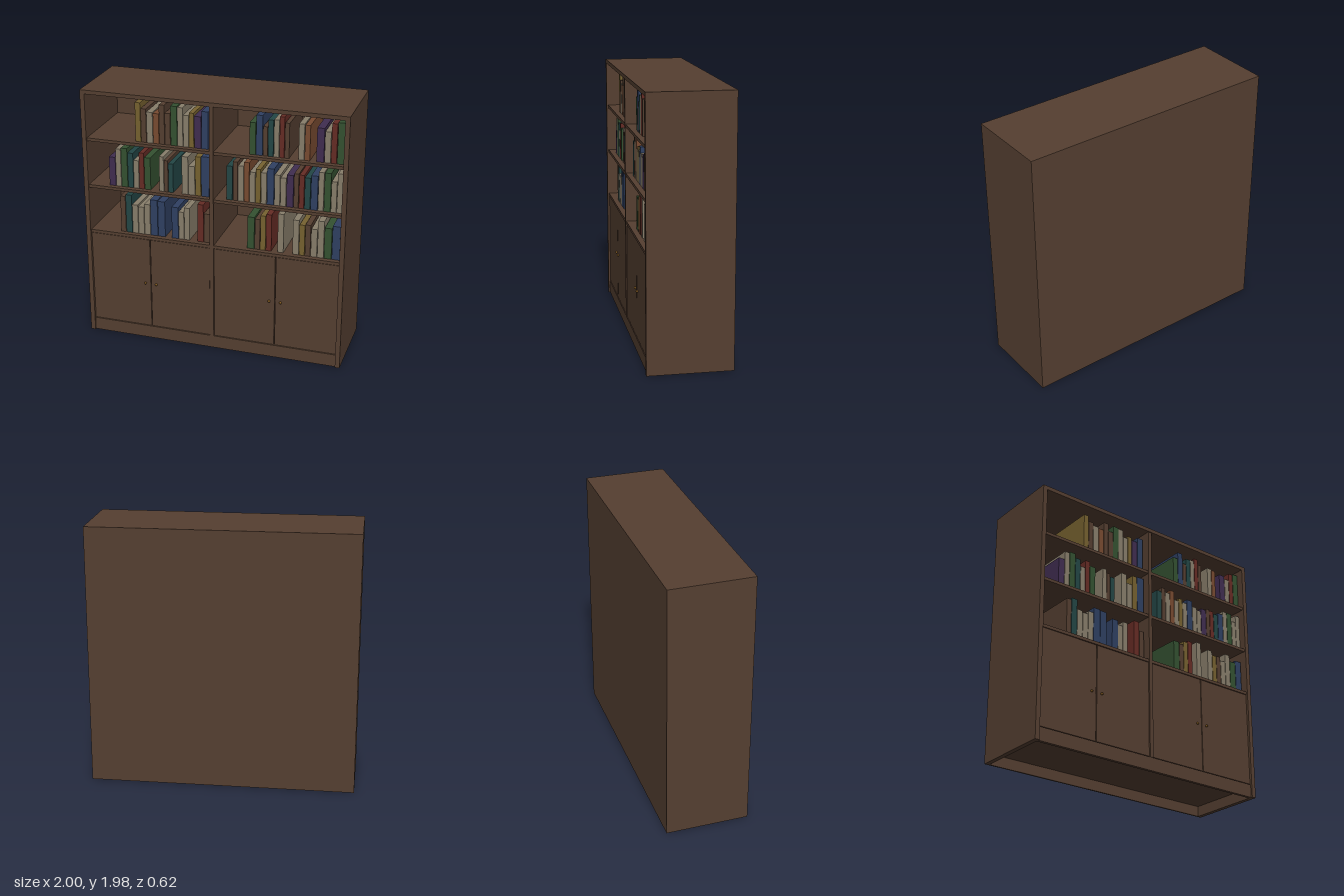
import * as THREE from 'three';

const material = (name, color) => {
  const m = new THREE.MeshStandardMaterial({ color });
  m.name = name;
  return m;
};

const wood = material('dark wood', 0x553f31);
const brass = material('brass', 0x7a5520);

// Book bindings: each has its cover colour and its usual relative thickness
const C = { cover: material('cream', 0x887e6b), thickness: 8.5 };
const Y = { cover: material('mustard', 0x776230), thickness: 7.5 };
const G = { cover: material('green', 0x345131), thickness: 10 };
const T = { cover: material('teal', 0x234645), thickness: 9 };
const B = { cover: material('blue', 0x2f4062), thickness: 10.5 };
const P = { cover: material('purple', 0x402d50), thickness: 10.5 };
const R = { cover: material('red', 0x662c25), thickness: 8 };
const O = { cover: material('orange', 0x794b31), thickness: 8 };
const W = { cover: wood, thickness: 7.5 };

const H = 1.975, D = 0.3125, SIDE = 0.035, FRONT = 0.3;
const LOW = 0.863, MIDDLE = 1.232, HIGH = 1.603; // shelf tops
const STEP = 0.00535; // one step of book height

export function createModel() {
  const model = new THREE.Group();
  model.name = 'bookcase';

  // Box given by its lower and upper limits on each axis
  const box = (name, mat, x0, x1, y0, y1, z0, z1, parent = model) => {
    const mesh = new THREE.Mesh(new THREE.BoxGeometry(x1 - x0, y1 - y0, z1 - z0), mat);
    mesh.position.set((x0 + x1) / 2, (y0 + y1) / 2, (z0 + z1) / 2);
    mesh.name = name;
    parent.add(mesh);
  };

  // Carcass
  const inner = 1 - SIDE;
  box('rightSidePanel', wood, -1, -inner, 0, H, -D, D);
  box('leftSidePanel', wood, inner, 1, 0, H, -D, D);
  box('topPanel', wood, -inner, inner, 1.945, H, -D, D);
  box('backPanel', wood, -inner, inner, 0, 1.945, -D, -0.3);
  box('plinth', wood, -inner, inner, 0, 0.1, 0.275, FRONT);
  box('basePanel', wood, -inner, inner, 0.08, 0.1, -0.3, 0.275);
  box('divider', wood, -0.015, 0.015, 0.1, 1.945, -0.3, 0.305);

  // Shelf boards in both bays
  for (const top of [LOW, MIDDLE, HIGH]) {
    box('shelf', wood, -inner, -0.015, top - 0.023, top, -0.3, FRONT);
    box('shelf', wood, 0.015, inner, top - 0.023, top, -0.3, FRONT);
  }

  // Two pairs of doors with small round knobs
  for (const centre of [-0.49, 0.49]) {
    for (const s of [-1, 1]) {
      const a = centre + s * 0.003, b = centre + s * 0.472;
      box('door', wood, Math.min(a, b), Math.max(a, b), 0.105, 0.836, 0.275, FRONT - 0.003);
      const knob = new THREE.Mesh(new THREE.SphereGeometry(0.01, 12, 8), brass);
      knob.position.set(centre + s * 0.044, 0.47, 0.302);
      knob.name = 'knob';
      model.add(knob);
    }
  }

  // Books standing side by side, sharing the length x0..x1 by thickness
  const bookRun = (floor, x0, x1, bindings, heights) => {
    const run = new THREE.Group();
    run.name = 'bookRun';
    model.add(run);
    const total = bindings.reduce((sum, b) => sum + b.thickness, 0);
    let x = x0;
    bindings.forEach(({ cover, thickness }, i) => {
      const w = (x1 - x0) * thickness / total;
      box('book', cover, x, x + w - 0.004, floor, floor + heights[i] * STEP, -0.12, 0.26, run);
      x += w;
    });
  };

  // Upper shelf
  bookRun(HIGH, -0.594, -0.321, [Y, W, C, O, W, W], [56, 48, 44, 43, 56, 45]);
  bookRun(HIGH, -0.321, -0.032, [G, C, C, Y, P, B], [56, 55, 45, 49, 45, 53]);
  bookRun(HIGH, 0.273, 0.567, [G, B, W, T, C, R, W], [45, 56, 41, 51, 52, 57, 49]);
  bookRun(HIGH, 0.631, 0.717, [C, O], [50, 49]);
  bookRun(HIGH, 0.76, 0.963, [P, C, R, G], [47, 43, 55, 57]);

  // Middle shelf
  bookRun(MIDDLE, -0.813, -0.482, [P, C, G, T, C, R, G], [42, 55, 57, 51, 41, 53, 47]);
  bookRun(MIDDLE, -0.417, -0.305, [C, W, T], [51, 46, 42]);
  bookRun(MIDDLE, -0.241, -0.027, [C, C, Y, B], [55, 42, 57, 58]);
  bookRun(MIDDLE, 0.102, 0.551, [T, W, C, O, C, Y, C, B, C, C], [49, 56, 51, 57, 44, 49, 45, 52, 44, 41]);
  bookRun(MIDDLE, 0.551, 0.963, [P, W, R, T, B, C, G, C, C], [46, 49, 48, 45, 49, 55, 55, 44, 56]);

  // Lower shelf
  bookRun(LOW, -0.733, -0.375, [W, T, C, C, C, B, B], [54, 57, 43, 41, 46, 54, 53]);
  bookRun(LOW, -0.326, -0.182, [B, C, C], [47, 41, 48]);
  bookRun(LOW, -0.123, -0.027, [R, W], [56, 43]);
  bookRun(LOW, 0.262, 0.449, [G, W, Y, R], [47, 45, 51, 54]);
  bookRun(LOW, 0.492, 0.54, [C], [57]);
  bookRun(LOW, 0.605, 0.958, [C, Y, W, C, C, G, B], [51, 45, 46, 41, 54, 45, 49]);

  return model;
}
